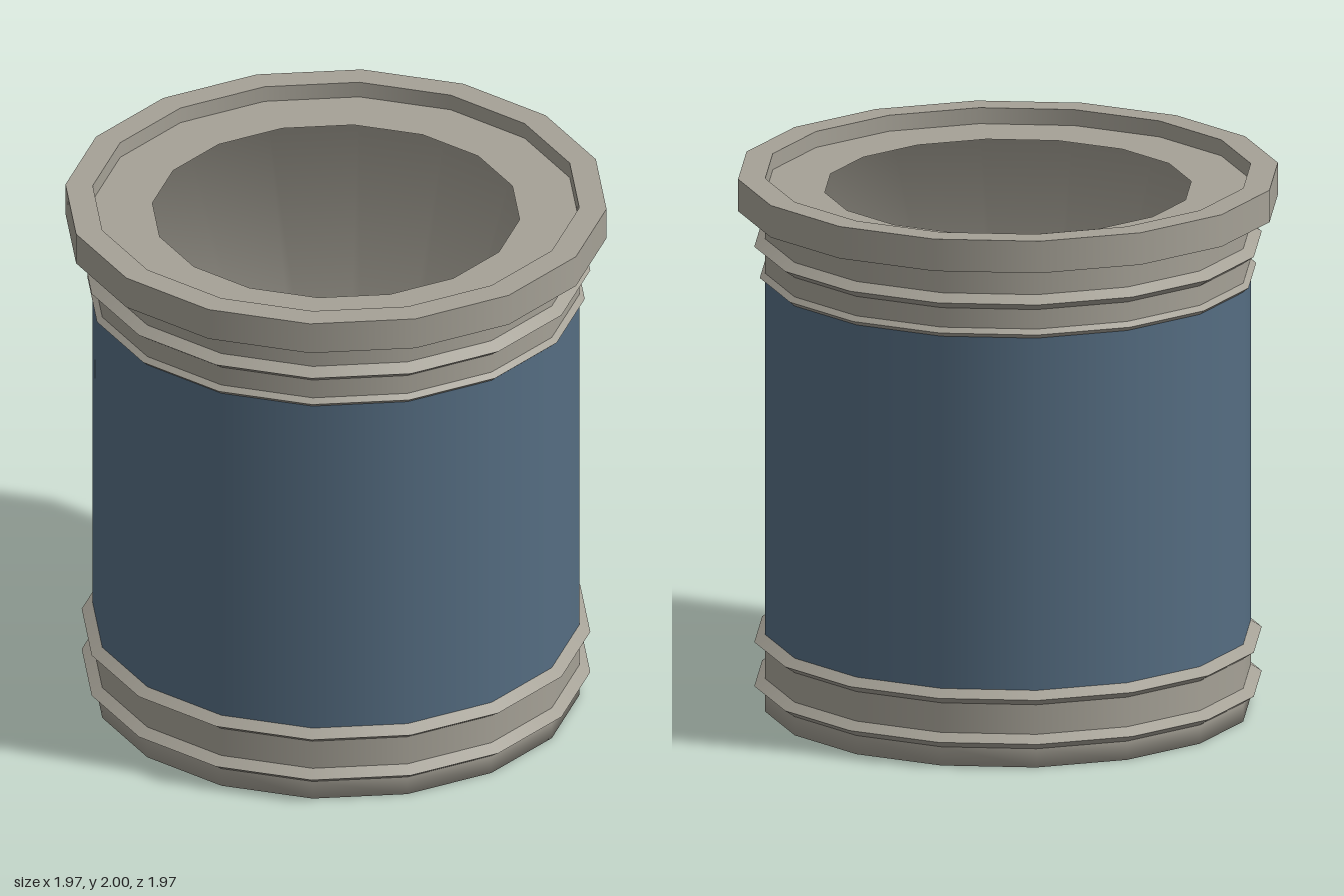
import * as THREE from 'three';
import { mergeGeometries } from 'three/addons/utils/BufferGeometryUtils.js';

const SIDES = 16;
const R = 0.885; // body radius
const MOUTH = 0.668;

const grey = new THREE.MeshStandardMaterial({ color: 0xa5a196 });
grey.name = 'warmGrey';
const blue = new THREE.MeshStandardMaterial({ color: 0x556d82 });
blue.name = 'slateBlue';

// Turned surface whose normals blend evenly between neighbouring profile segments
const lathe = (profile) => {
  const points = profile.map(([r, y]) => new THREE.Vector2(r, y));
  const geometry = new THREE.LatheGeometry(points, SIDES);
  const segmentNormals = points.slice(1).map((p, i) =>
    new THREE.Vector2(p.y - points[i].y, points[i].x - p.x).normalize());
  const normal = geometry.attributes.normal;
  points.forEach((p, j) => {
    const n = segmentNormals[Math.max(j - 1, 0)].clone()
      .add(segmentNormals[Math.min(j, segmentNormals.length - 1)]).normalize();
    for (let i = 0; i <= SIDES; i++) {
      const a = (i / SIDES) * Math.PI * 2;
      normal.setXYZ(i * points.length + j, n.x * Math.sin(a), n.y, n.x * Math.cos(a));
    }
  });
  return geometry;
};

// Smooth around the axis, with a sharp edge at every profile point
const creasedLathe = (profile) =>
  mergeGeometries(profile.slice(1).map((p, i) => lathe([profile[i], p])));

// Pointed ring profile, from bottom to top
const ridge = (y, halfHeight, reach) => [
  [R, y - halfHeight], [R + reach, y], [R, y + halfHeight],
];

export function createModel() {
  const model = new THREE.Group();
  const add = (name, geometry, material) => {
    const mesh = new THREE.Mesh(geometry, material);
    mesh.name = name;
    model.add(mesh);
  };

  // Softly shaded underside running into the foot of the wall
  add('base', lathe([[0, 0], [R, 0], [R, 0.07]]), grey);

  // Lower grey band with its two ridges
  add('lowerBand', creasedLathe([
    ...ridge(0.097, 0.027, 0.04), ...ridge(0.262, 0.027, 0.04),
  ]), grey);

  // Blue wall
  add('wall', lathe([[R, 0.289], [R, 1.61]]), blue);

  // Upper grey band: a small ridge, a large ridge, then up to the rim
  add('upperBand', creasedLathe([
    ...ridge(1.627, 0.017, 0.02), ...ridge(1.745, 0.028, 0.04), [R, 1.88],
  ]), grey);

  // Wide rim with a recessed ledge inside it
  add('rim', creasedLathe([
    [R, 1.88], [0.984, 1.88], [0.984, 2], [R, 2], [R, 1.94], [MOUTH, 1.94],
  ]), grey);

  // Hollow interior: thin lip, then a deep funnel down to a small floor
  add('interior', lathe([
    [MOUTH, 1.94], [0.86, 1.92], [0.205, 0.15], [0, 0.15],
  ]), grey);

  return model;
}
